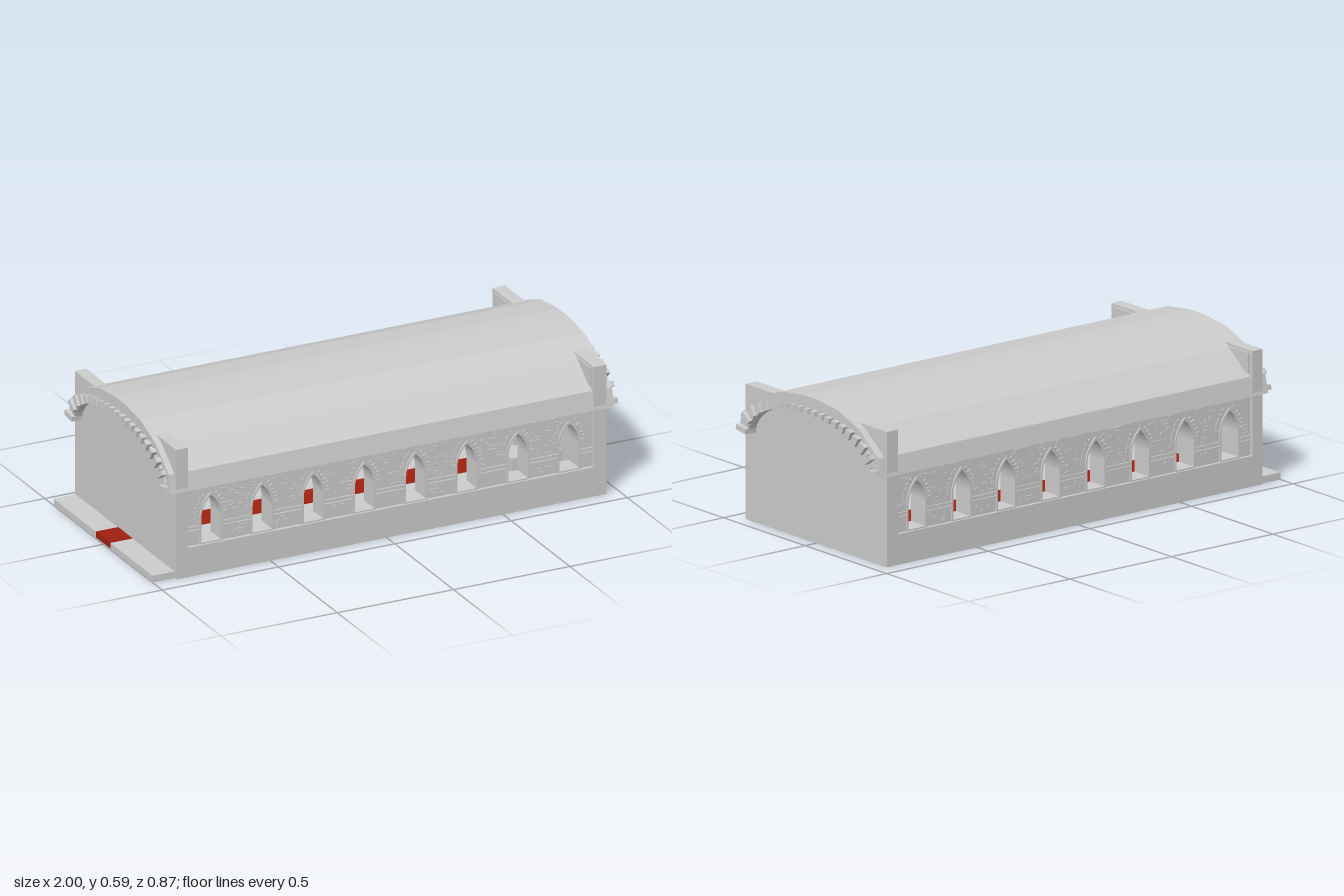
import * as THREE from 'three';
import { mergeGeometries } from 'three/addons/utils/BufferGeometryUtils.js';

const stone = new THREE.MeshStandardMaterial({ color: 0xcccccc, flatShading: true, side: THREE.DoubleSide });
const red = new THREE.MeshStandardMaterial({ color: 0xa02010 });

// Box geometry from its minimum and maximum corners
function span(x0, x1, y0, y1, z0, z1) {
  return new THREE.BoxGeometry(x1 - x0, y1 - y0, z1 - z0)
    .translate((x0 + x1) / 2, (y0 + y1) / 2, (z0 + z1) / 2);
}

function add(parent, name, geometry, material = stone) {
  const mesh = new THREE.Mesh(geometry, material);
  mesh.name = name;
  parent.add(mesh);
  return mesh;
}

function extrude(shape, depth) {
  return new THREE.ExtrudeGeometry(shape, { depth, bevelEnabled: false, curveSegments: 8 });
}

// Extrude a (z, y) section along x
function extrudeX(shape, x0, x1) {
  return extrude(shape, x1 - x0).rotateY(Math.PI / 2).translate(x0, 0, 0);
}

// Pointed window outline
function lancet(path, cx, w, bottom, spring, top) {
  path.moveTo(cx - w, bottom);
  path.lineTo(cx + w, bottom);
  path.lineTo(cx + w, spring);
  path.quadraticCurveTo(cx + w * 0.9, spring + (top - spring) * 0.6, cx, top);
  path.quadraticCurveTo(cx - w * 0.9, spring + (top - spring) * 0.6, cx - w, spring);
  path.lineTo(cx - w, bottom);
  return path;
}

function seeded(seed) {
  return () => (seed = (seed * 16807) % 2147483647) / 2147483647;
}

const X0 = -0.905, X1 = 0.945, P0 = -0.855, P1 = 0.89;
const WALL_TOP = 0.37, FACE = 0.418, SIDE = 0.432, INNER = 0.335;
const windows = Array.from({ length: 8 }, (_, i) => -0.751 + i * 0.22);

// Half ellipse of the vault's underside
const vault = new THREE.EllipseCurve(0, 0.36, 0.37, 0.165, 0, Math.PI);

function makeSideWall(seed) {
  const wall = new THREE.Group();
  wall.name = 'sideWall';

  // Recessed panel pierced by the windows
  const panel = new THREE.Shape();
  panel.moveTo(P0, 0.1);
  panel.lineTo(P1, 0.1);
  panel.lineTo(P1, WALL_TOP);
  panel.lineTo(P0, WALL_TOP);
  for (const x of windows) panel.holes.push(lancet(new THREE.Path(), x, 0.042, 0.128, 0.235, 0.32));
  add(wall, 'windowWall', extrude(panel, FACE - INNER).translate(0, 0, INNER));

  add(wall, 'plinth', span(X0, X1, 0, 0.122, INNER, SIDE));
  add(wall, 'cornerPiers', mergeGeometries([
    span(X0, P0, 0.122, WALL_TOP, INNER, SIDE),
    span(P1, X1, 0.122, WALL_TOP, INNER, SIDE)
  ]));

  // Buttress tops rising through the roof
  for (const [a, b] of [[X0, P0], [P1, X1]]) {
    const s = a < 0 ? 1 : -1, mid = (a + b) / 2;
    add(wall, 'buttressTop', mergeGeometries([
      span(a, b, 0.36, 0.54, 0.26, SIDE),
      span(mid + s * 0.02 - 0.012, mid + s * 0.02 + 0.012, 0.45, 0.53, 0.28, 0.415)
    ]));
  }

  // Window surrounds and the stones over each arch
  const frames = [], archStones = [];
  for (const x of windows) {
    const ring = lancet(new THREE.Shape(), x, 0.049, 0.122, 0.235, 0.332);
    ring.holes.push(lancet(new THREE.Path(), x, 0.042, 0.128, 0.235, 0.32));
    frames.push(extrude(ring, 0.012).translate(0, 0, FACE - 0.006));
    for (const s of [-1, 1]) {
      for (let k = 0; k < 6; k++) {
        const t = k / 6, angle = 0.1 + t * 0.75;
        archStones.push(new THREE.BoxGeometry(k % 2 ? 0.012 : 0.018, 0.011, 0.008)
          .rotateZ(s * angle)
          .translate(x + s * (0.062 - 0.05 * t * t), 0.24 + 0.1 * t, FACE));
      }
    }
  }
  add(wall, 'windowFrames', mergeGeometries(frames));
  add(wall, 'windowArchStones', mergeGeometries(archStones));

  // Double string course between the windows
  const course = [], edges = [P0, ...windows.flatMap(x => [x - 0.049, x + 0.049]), P1];
  for (let i = 0; i < edges.length; i += 2) {
    course.push(span(edges[i], edges[i + 1], 0.177, 0.186, FACE - 0.005, FACE + 0.006));
    course.push(span(edges[i], edges[i + 1], 0.194, 0.203, FACE - 0.005, FACE + 0.006));
  }
  add(wall, 'stringCourse', mergeGeometries(course));

  // Scattered raised bricks
  const rand = seeded(seed), bricks = [];
  for (let i = 0; i < 330; i++) {
    const x = P0 + 0.02 + rand() * (P1 - P0 - 0.04);
    const y = 0.138 + Math.floor(rand() * 15) * 0.015;
    const w = 0.01 + rand() * 0.012;
    const clear = y > 0.33 ? 0.02 : 0.066;
    if (windows.some(c => Math.abs(c - x) < clear) || Math.abs(y - 0.19) < 0.02) continue;
    bricks.push(span(x - w / 2, x + w / 2, y - 0.005, y + 0.005, FACE - 0.004, FACE + 0.004));
  }
  add(wall, 'raisedBricks', mergeGeometries(bricks));
  return wall;
}

export function createModel() {
  const hall = new THREE.Group();
  hall.name = 'vaultedHall';

  // Floor slab with its entrance step, and the carpet
  add(hall, 'floor', mergeGeometries([
    span(X0, X1, 0, 0.028, -SIDE, SIDE),
    span(-1, X0, 0, 0.028, -0.423, 0.418)
  ]));
  add(hall, 'carpet', span(-1.0005, 0.72, 0.005, 0.03, -0.062, 0.058), red);

  // Side walls, the far one turned by mirroring its positions along x
  hall.add(makeSideWall(17));
  const back = makeSideWall(71);
  back.traverse(part => {
    if (!part.isMesh) return;
    const g = part.geometry.index ? part.geometry.toNonIndexed() : part.geometry;
    g.scale(1, 1, -1);
    // Swap two corners of each triangle so that faces still point outward
    const p = g.attributes.position;
    const a = new THREE.Vector3(), b = new THREE.Vector3();
    for (let i = 0; i < p.count; i += 3) {
      a.fromBufferAttribute(p, i);
      b.fromBufferAttribute(p, i + 1);
      p.setXYZ(i, b.x, b.y, b.z);
      p.setXYZ(i + 1, a.x, a.y, a.z);
    }
    g.computeVertexNormals();
    part.geometry = g;
  });
  hall.add(back);

  // End walls closing the vault
  const arch = vault.getPoints(28);
  const end = new THREE.Shape([
    new THREE.Vector2(-SIDE, 0), new THREE.Vector2(SIDE, 0), new THREE.Vector2(SIDE, 0.36),
    ...arch, new THREE.Vector2(-SIDE, 0.36)
  ]);
  add(hall, 'endWall', extrudeX(end, X0, X0 + 0.05));
  add(hall, 'endWall', extrudeX(end, X1 - 0.05, X1));

  // Faceted barrel roof
  const slope = [[0.435, 0.36], [0.418, 0.435], [0.3, 0.525], [0.18, 0.571], [0.042, 0.588]];
  const outer = [...slope, ...slope.map(([z, y]) => [-z, y]).reverse()];
  const roof = new THREE.Shape([
    ...outer.map(([z, y]) => new THREE.Vector2(z, y)), ...arch.slice().reverse()
  ]);
  add(hall, 'roof', extrudeX(roof, -0.93, 0.975));

  // Alternating stones around both roof ends
  const COUNT = 41;
  for (const s of [-1, 1]) {
    const stones = [];
    for (let i = 0; i < COUNT; i++) {
      const u = (i + 0.5) / COUNT;
      const p = vault.getPointAt(u), t = vault.getTangentAt(u);
      const long = i % 2 === 0;
      const side = Math.abs(2 * u - 1);
      const len = (0.02 + 0.042 * side * side) * (long ? 1 : 0.65);
      const depth = long ? 0.022 : 0.011;
      const face = s > 0 ? 0.974 : -0.929;
      // Local x runs outward from the arch, local y along it
      stones.push(new THREE.BoxGeometry(len, long ? 0.0205 : 0.018, depth)
        .translate(len / 2, 0, 0)
        .rotateZ(Math.atan2(-t.x, t.y))
        .translate(p.x, p.y, 0)
        .rotateY(Math.PI / 2)
        .translate(face + s * depth / 2, 0, 0));
    }
    add(hall, 'archStones', mergeGeometries(stones));
  }

  // Throne on its dais at the far end
  const throne = new THREE.Group();
  throne.name = 'throne';
  add(throne, 'dais', span(0.68, X1 - 0.05, 0.028, 0.09, -0.15, 0.15));
  add(throne, 'seat', span(0.745, 0.79, 0.09, 0.15, -0.04, 0.04));
  add(throne, 'cushion', span(0.747, 0.79, 0.15, 0.156, -0.03, 0.03), red);
  add(throne, 'backrest', span(0.79, 0.802, 0.09, 0.212, -0.04, 0.04), red);
  hall.add(throne);

  return hall;
}
